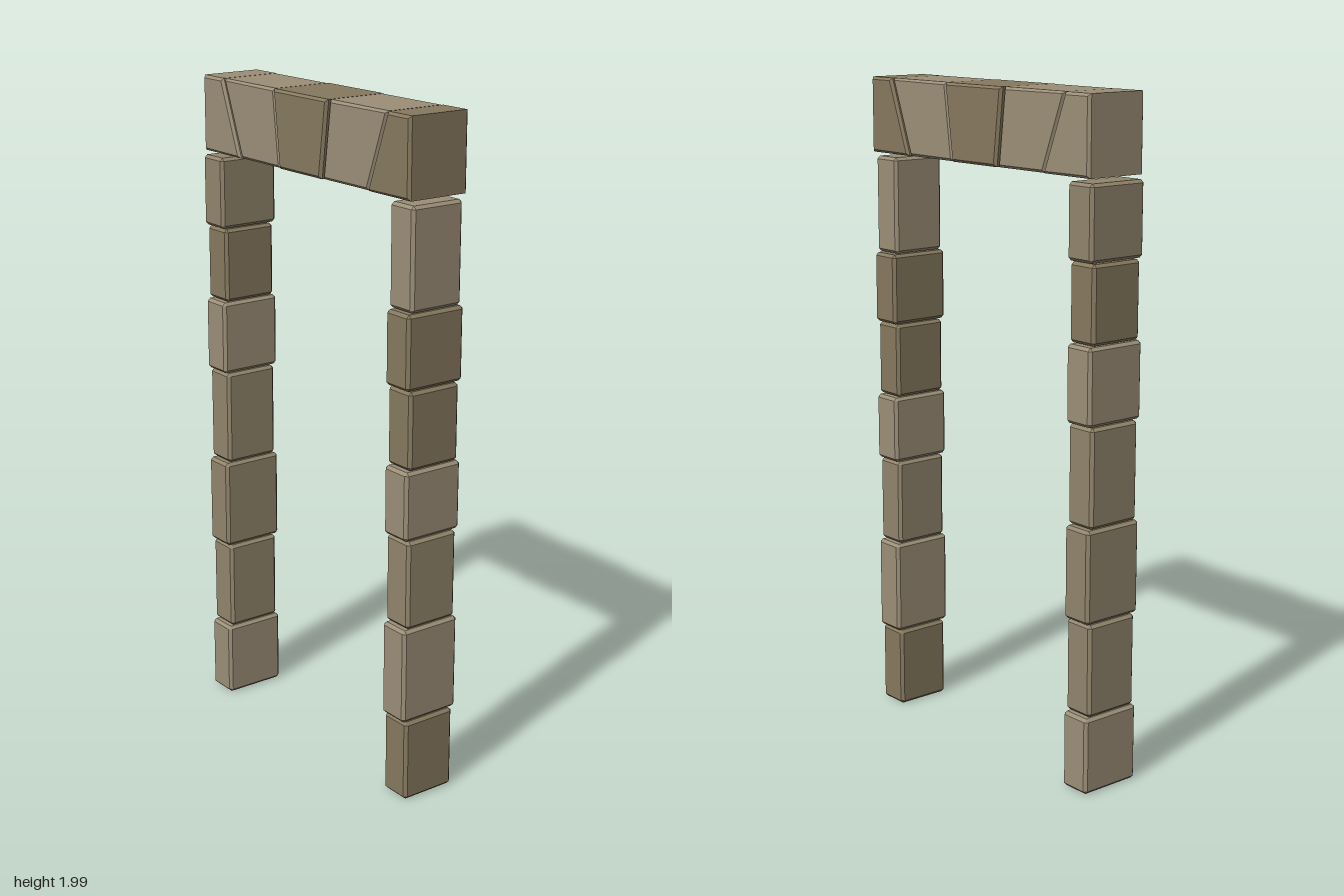
import * as THREE from 'three';
import { ConvexGeometry } from 'three/addons/geometries/ConvexGeometry.js';

const TONES = [0x9c8f78, 0x87795f, 0x92856c].map(
  (color) => new THREE.MeshStandardMaterial({ color, flatShading: true }));
const CHAMFER = 0.009;
const GAP = 0.003;

// Box with every edge chamfered: each corner is cut into three points
function chamferedBox(w, h, d, c) {
  const points = [];
  for (const sx of [-1, 1]) for (const sy of [-1, 1]) for (const sz of [-1, 1]) {
    const [x, y, z] = [w / 2, h / 2, d / 2];
    points.push(
      new THREE.Vector3(sx * x, sy * (y - c), sz * (z - c)),
      new THREE.Vector3(sx * (x - c), sy * y, sz * (z - c)),
      new THREE.Vector3(sx * (x - c), sy * (y - c), sz * z));
  }
  return new ConvexGeometry(points);
}

// Column of stacked stones, alternately deep and shallow
function column(name, x, joints, firstDeep, tones) {
  const group = new THREE.Group();
  group.name = name;
  for (let i = 0; i < joints.length - 1; i++) {
    const bottom = joints[i] + GAP / 2;
    const top = joints[i + 1] - GAP / 2;
    const deep = (i % 2 === 0) === firstDeep;
    const stone = new THREE.Mesh(
      chamferedBox(0.1, top - bottom, deep ? 0.197 : 0.175, CHAMFER), TONES[tones[i]]);
    stone.name = 'columnStone' + (i + 1);
    stone.position.set(x, (bottom + top) / 2, 0.002);
    group.add(stone);
  }
  return group;
}

// Wedge-shaped lintel stone with bevelled front and back edges
function wedge(name, [bl, tl], [br, tr], depth, tone) {
  const shape = new THREE.Shape([
    new THREE.Vector2(bl + GAP / 2, 1.775), new THREE.Vector2(br - GAP / 2, 1.775),
    new THREE.Vector2(tr - GAP / 2, 2), new THREE.Vector2(tl + GAP / 2, 2)]);
  const c = 0.008;
  const geometry = new THREE.ExtrudeGeometry(shape, {
    depth: depth - 2 * c, bevelEnabled: true, bevelThickness: c,
    bevelSize: c, bevelOffset: -c, bevelSegments: 1 });
  geometry.translate(0, 0, c - depth / 2 - 0.002);
  const mesh = new THREE.Mesh(geometry, TONES[tone]);
  mesh.name = name;
  return mesh;
}

export function createModel() {
  const model = new THREE.Group();
  model.name = 'stoneDoorway';

  model.add(
    column('rightColumn', -0.447, [0.004, 0.238, 0.518, 0.797, 1.09, 1.317, 1.545, 1.763],
      true, [0, 2, 2, 2, 0, 1, 2]),
    column('leftColumn', 0.442, [0.004, 0.255, 0.545, 0.813, 1.02, 1.25, 1.468, 1.763],
      false, [1, 0, 2, 0, 1, 1, 0]));

  // Lintel joints as [bottom x, top x], from right to left of the model
  const joints = [[-0.492, -0.492], [-0.302, -0.388], [-0.104, -0.13],
    [0.098, 0.128], [0.304, 0.386], [0.487, 0.487]];
  const names = ['rightEndStone', 'rightWedge', 'keystone', 'leftWedge', 'leftEndStone'];
  const depths = [0.203, 0.193, 0.207, 0.193, 0.203];
  const tones = [0, 0, 1, 0, 1];
  const lintel = new THREE.Group();
  lintel.name = 'lintel';
  names.forEach((name, i) =>
    lintel.add(wedge(name, joints[i], joints[i + 1], depths[i], tones[i])));
  model.add(lintel);
  return model;
}
